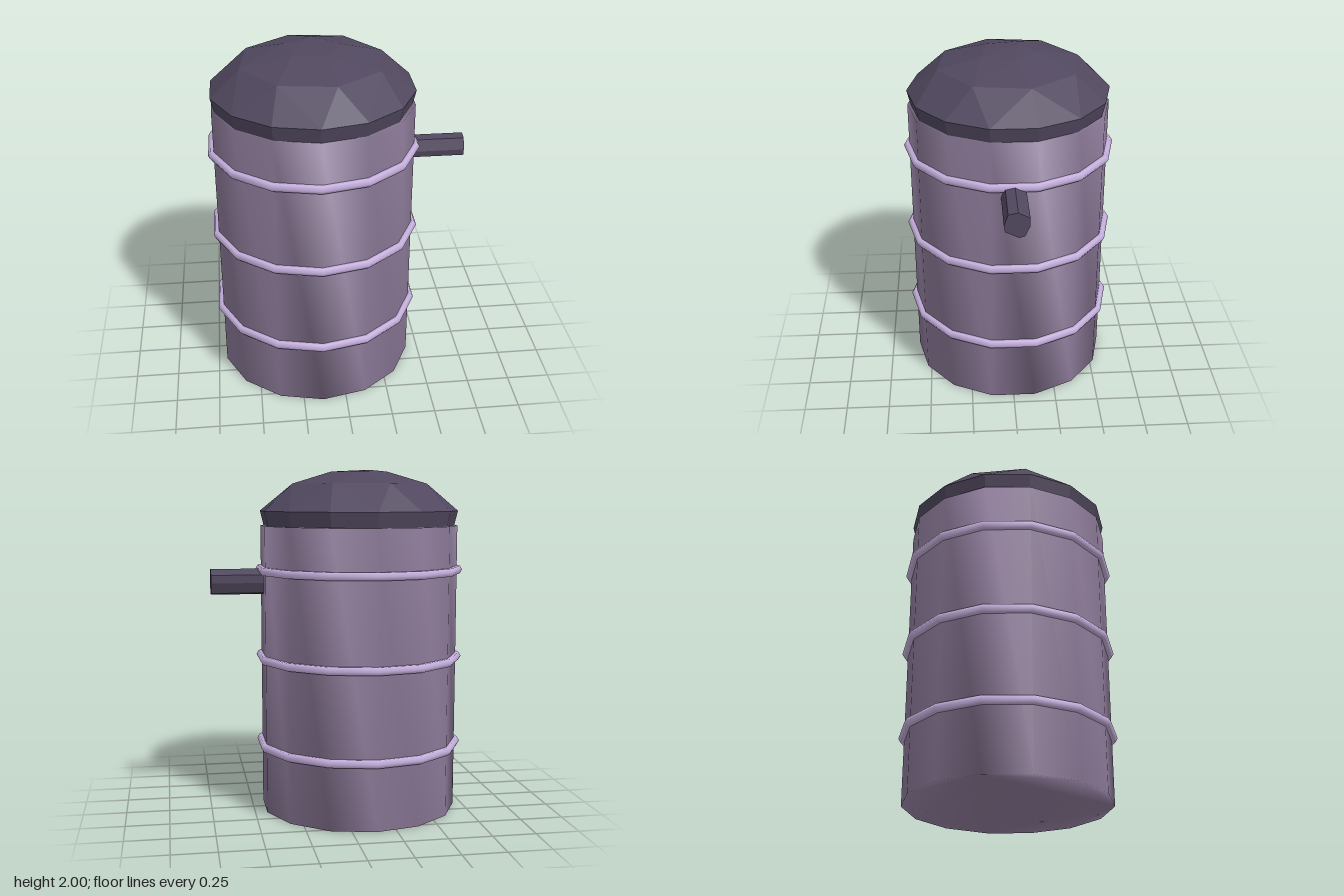
import * as THREE from 'three';
import { mergeVertices } from 'three/addons/utils/BufferGeometryUtils.js';
import { ConvexGeometry } from 'three/addons/geometries/ConvexGeometry.js';

const SIDES = 14;
const AXIS_X = -0.135;

// Points of a level polygon around the barrel axis, starting at +z
function ring(radius, y, sides, turn = 0) {
  return Array.from({ length: sides }, (_, i) => {
    const a = turn + (i / sides) * Math.PI * 2;
    return new THREE.Vector3(Math.sin(a) * radius, y, Math.cos(a) * radius);
  });
}

// Share normals across every edge
function soften(geometry) {
  geometry.deleteAttribute('normal');
  geometry.deleteAttribute('uv');
  const merged = mergeVertices(geometry, 1e-4);
  merged.clearGroups();
  merged.computeVertexNormals();
  return merged;
}

export function createModel() {
  const group = new THREE.Group();
  group.name = 'barrel';
  const material = (name, color) => {
    const m = new THREE.MeshStandardMaterial({ color });
    m.name = name;
    return m;
  };
  const body = material('mauve body', 0x8a7896);
  const band = material('pale lilac band', 0xc6b0de);
  const dark = material('dark purple', 0x51485f);

  const add = (name, geometry, mat, x = AXIS_X, y = 0) => {
    const mesh = new THREE.Mesh(geometry, mat);
    mesh.name = name;
    mesh.position.set(x, y, 0);
    group.add(mesh);
    return mesh;
  };

  // Drum, with normals rolling over its rims
  const outline = new THREE.Shape(ring(0.58, 0, SIDES).map((p) => new THREE.Vector2(p.x, p.z)));
  const drum = new THREE.ExtrudeGeometry(outline, { depth: 1.68, bevelEnabled: false });
  drum.rotateX(-Math.PI / 2);
  add('drum', soften(drum), body);

  // Three hoops
  for (const y of [0.39, 0.908, 1.423]) {
    const hoop = new THREE.TorusGeometry(0.586, 0.026, 6, SIDES);
    hoop.rotateX(Math.PI / 2).rotateY(Math.PI / 2);
    add('hoop', hoop, band, AXIS_X, y);
  }

  // Faceted domed lid
  add('lid', new ConvexGeometry([
    ...ring(0.56, 1.675, SIDES),
    ...ring(0.582, 1.765, SIDES),
    ...ring(0.415, 1.92, 8, 0.25),
    ...ring(0.17, 1.99, 5, 0.5),
    new THREE.Vector3(-0.05, 2, -0.06),
  ]), dark);

  // Spout: a tilted square bar with chamfered corners
  const section = [
    [-0.072, 1.358], [-0.066, 1.321], [0.008, 1.284], [0.04, 1.294],
    [0.066, 1.353], [0.066, 1.4], [0.003, 1.432], [-0.05, 1.422],
  ].map(([u, v]) => new THREE.Vector2(u, v));
  const spout = new THREE.ExtrudeGeometry(new THREE.Shape(section), { depth: 0.36, bevelEnabled: false });
  spout.rotateY(Math.PI / 2);
  add('spout', spout, dark, 0.375);

  return group;
}
